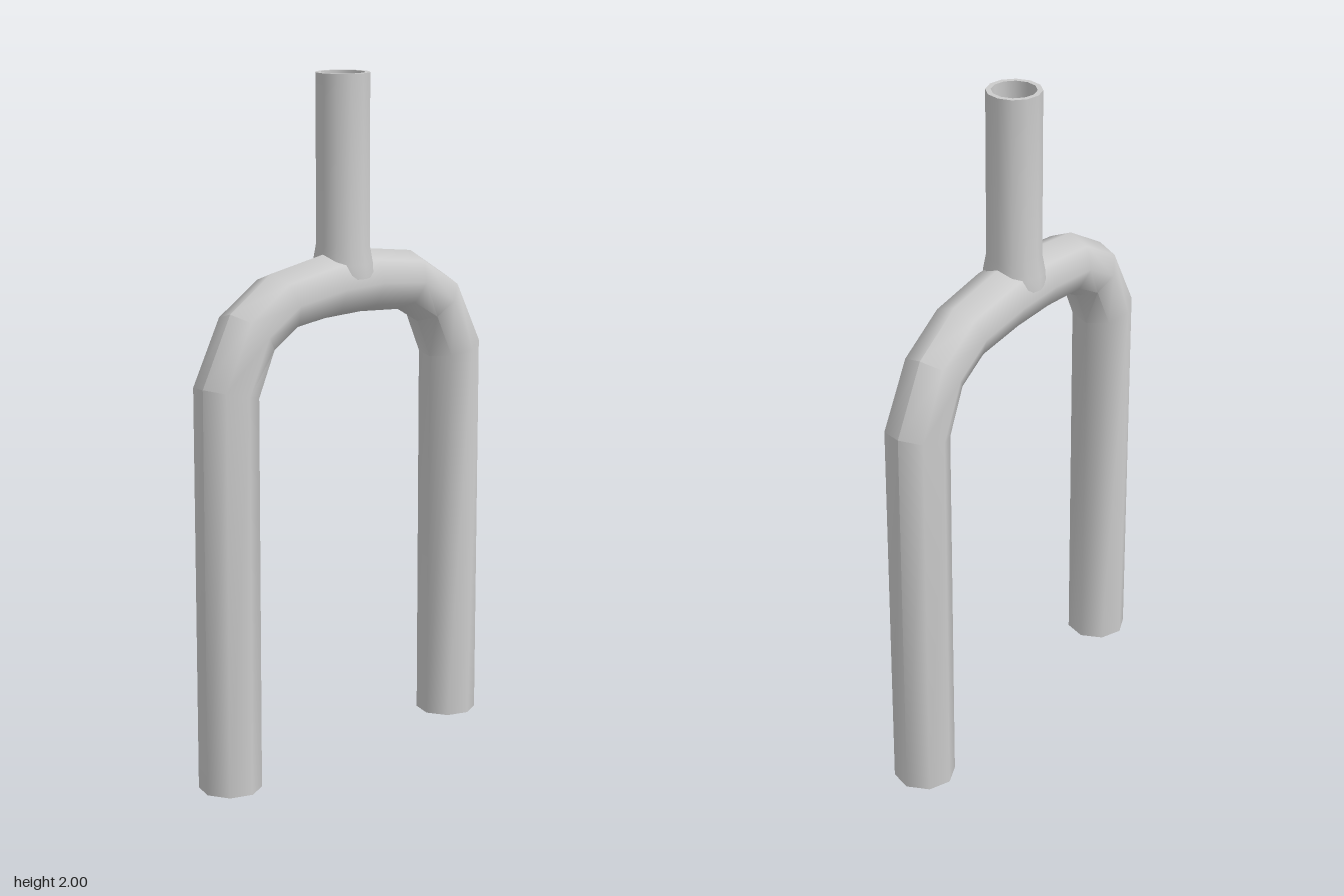
import * as THREE from 'three';
import { toCreasedNormals } from 'three/addons/utils/BufferGeometryUtils.js';

const SIDES = 8;
const CREASE = THREE.MathUtils.degToRad(50);

// Hollow pipe swept along a path in the XY plane: outer wall, end rims and bore.
// Each station is [x, y, outerRadius].
function hollowPipe(stations, wall) {
  const rings = stations.map(([x, y, r], i) => {
    const a = stations[Math.max(i - 1, 0)];
    const b = stations[Math.min(i + 1, stations.length - 1)];
    const p = new THREE.Vector2(x, y);
    const back = p.clone().sub(new THREE.Vector2(a[0], a[1])).normalize();
    const ahead = new THREE.Vector2(b[0], b[1]).sub(p).normalize();
    const t = back.add(ahead).normalize();
    return { x, y, r, nx: t.y, ny: -t.x };
  });
  const bore = rings.map((s) => ({ ...s, r: s.r - wall })).reverse();
  const loop = [...rings, ...bore];

  const positions = [];
  for (const s of loop) {
    for (let j = 0; j < SIDES; j++) {
      const angle = (j / SIDES) * Math.PI * 2;
      const out = Math.cos(angle) * s.r;
      positions.push(s.x + s.nx * out, s.y + s.ny * out, Math.sin(angle) * s.r);
    }
  }
  const index = [];
  for (let i = 0; i < loop.length; i++) {
    const next = (i + 1) % loop.length;
    for (let j = 0; j < SIDES; j++) {
      const k = (j + 1) % SIDES;
      const a = i * SIDES + j, b = next * SIDES + j;
      const c = next * SIDES + k, d = i * SIDES + k;
      index.push(a, b, d, b, c, d);
    }
  }
  const geometry = new THREE.BufferGeometry();
  geometry.setAttribute('position', new THREE.Float32BufferAttribute(positions, 3));
  geometry.setIndex(index);
  return toCreasedNormals(geometry, CREASE);
}

export function createModel() {
  const group = new THREE.Group();
  group.name = 'fork';
  const material = new THREE.MeshStandardMaterial({ color: 0xcccccc });

  // Both legs and the arched crown are one bent pipe, mirrored about x = 0
  const half = [
    [0.472, 0, 0.09],
    [0.472, 1.15, 0.092],
    [0.39, 1.305, 0.089],
    [0.265, 1.376, 0.089],
    [0.08, 1.398, 0.092],
  ];
  const path = [...half, ...half.map(([x, y, r]) => [-x, y, r]).reverse()];
  const legs = new THREE.Mesh(hollowPipe(path, 0.02), material);
  legs.name = 'legsAndCrown';
  group.add(legs);

  // Hollow stem, slightly flared where it meets the crown
  const profile = [
    [0.09, 1.42], [0.088, 1.46], [0.079, 1.51], [0.079, 2],
    [0.064, 2], [0.064, 1.5], [0, 1.5],
  ].map(([r, y]) => new THREE.Vector2(r, y));
  const stemGeometry = toCreasedNormals(new THREE.LatheGeometry(profile, 12), CREASE);
  const stem = new THREE.Mesh(stemGeometry, material);
  stem.name = 'stem';
  group.add(stem);

  return group;
}
